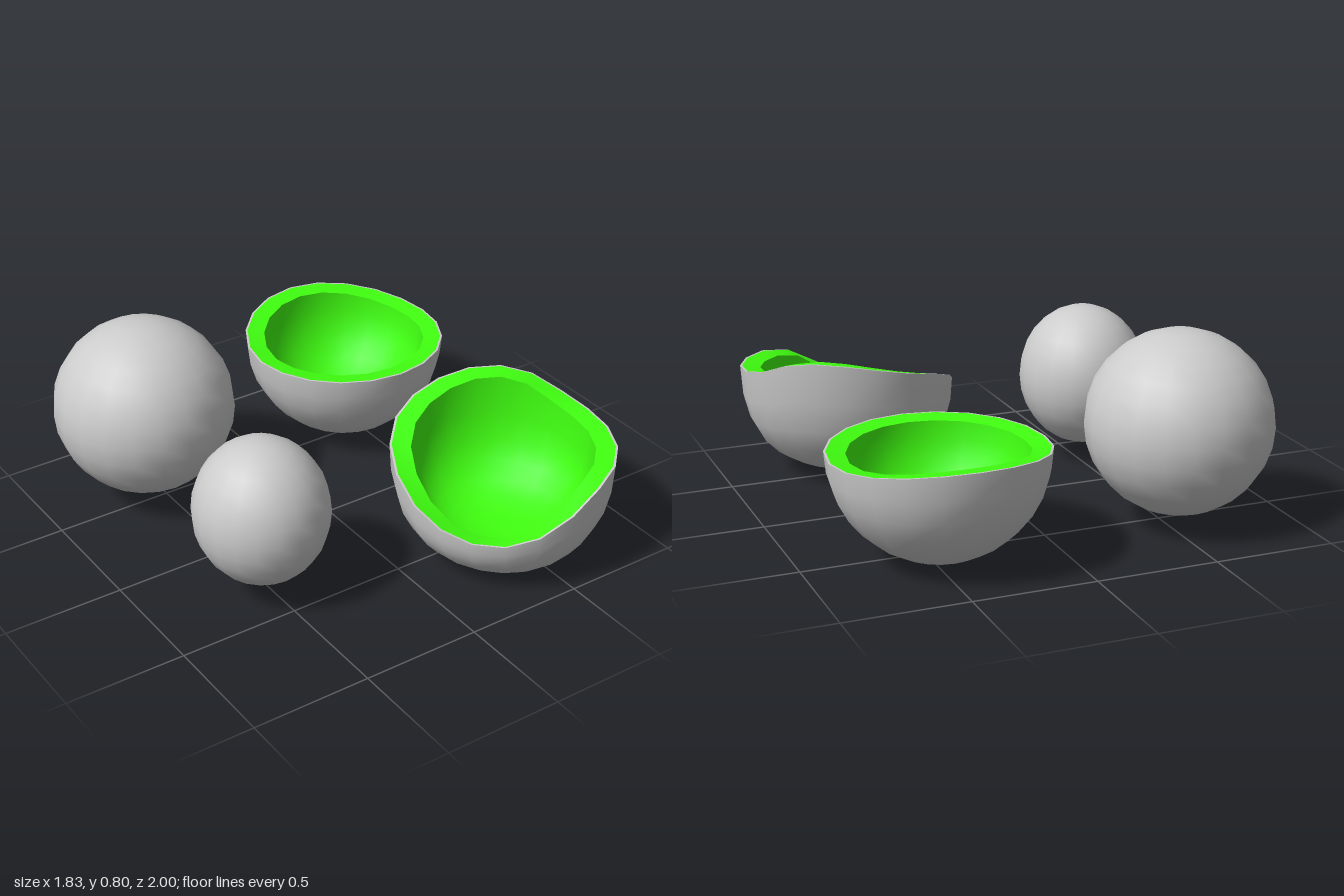
import * as THREE from 'three';
import { mergeVertices } from 'three/addons/utils/BufferGeometryUtils.js';

const SIDES = 20;
const grey = new THREE.MeshStandardMaterial({ color: 0xcccccc, side: THREE.DoubleSide });
const green = new THREE.MeshStandardMaterial({ color: 0x40ff10, side: THREE.DoubleSide });

// Smooth surface through rings: point(ring, angle, side) gives [x, y, z]
function ringSurface(name, rings, point, material) {
  const positions = [], index = [];
  for (let i = 0; i <= rings; i++) {
    for (let j = 0; j < SIDES; j++) {
      positions.push(...point(i / rings, (j / SIDES) * Math.PI * 2, j));
      if (i === rings) continue;
      const a = i * SIDES + j, b = i * SIDES + ((j + 1) % SIDES);
      index.push(a, a + SIDES, b, b, a + SIDES, b + SIDES);
    }
  }
  let geometry = new THREE.BufferGeometry();
  geometry.setAttribute('position', new THREE.Float32BufferAttribute(positions, 3));
  geometry.setIndex(index);
  geometry = mergeVertices(geometry, 1e-5);
  geometry.computeVertexNormals();
  const mesh = new THREE.Mesh(geometry, material);
  mesh.name = name;
  return mesh;
}

// Hollow half shell with an uneven rim; its base may sit off the rim's centre
// and stretch lengthens it along the diagonal
function halfShell(name, { centre, base, radius, stretch, equator, floor, power, heights }) {
  const group = new THREE.Group();
  group.name = name;

  // s: 0 at the base, 1 at the rim
  const wall = (s, angle, j, scale, bottom) => {
    const phi = s * Math.PI / 2;
    const t = Math.sin(phi);
    const r = radius * scale * Math.pow(t, power) * (1 + stretch * Math.sin(2 * angle));
    const belly = (equator - bottom) * (1 - Math.cos(phi));
    return [
      THREE.MathUtils.lerp(base[0], centre[0], t) + r * Math.cos(angle),
      bottom + belly + (heights[j] - equator) * Math.pow(s, 3.5),
      THREE.MathUtils.lerp(base[1], centre[1], t) + r * Math.sin(angle),
    ];
  };
  // Flat band across the wall thickness
  const band = (from, to, drop) => (s, angle, j) => {
    const p = wall(1, angle, j, THREE.MathUtils.lerp(from, to, s), floor);
    p[1] -= drop * s;
    return p;
  };
  const inside = (s, angle, j) => {
    const p = wall(1 - s, angle, j, 0.81, floor + 0.08);
    p[1] -= 0.01 * (1 - s);
    return p;
  };

  group.add(
    ringSurface('outerShell', 8, (s, a, j) => wall(s, a, j, 1, floor), grey),
    ringSurface('shellLip', 1, band(1, 0.98, 0), grey),
    ringSurface('cutRim', 1, band(0.98, 0.81, 0.01), green),
    ringSurface('hollowInside', 8, inside, green),
  );
  return group;
}

// Closed rounded fruit
function fruit(name, position, radii) {
  const mesh = new THREE.Mesh(new THREE.SphereGeometry(1, SIDES, 14), grey);
  mesh.name = name;
  mesh.position.set(...position);
  mesh.scale.set(...radii);
  return mesh;
}

export function createModel() {
  const model = new THREE.Group();
  model.name = 'fruitAndHalfShells';

  // Two whole fruits on the right
  model.add(
    fruit('largeFruit', [-0.545, 0.428, -0.57], [0.378, 0.373, 0.383]),
    fruit('smallFruit', [-0.525, 0.382, 0.31], [0.272, 0.304, 0.28]),
  );

  // Back half shell: a hemisphere with a nearly level rim
  const levelRim = Array.from({ length: SIDES }, (_, j) => {
    const s = Math.sin((j / SIDES) * Math.PI * 2);
    return s < 0 ? 0.44 + 0.05 * s * s : 0.44 + 0.01 * s;
  });
  model.add(halfShell('backHalfShell', {
    centre: [0.464, -0.57], base: [0.464, -0.57], radius: 0.434, stretch: 0,
    equator: 0.44, floor: 0.008, power: 1, heights: levelRim,
  }));

  // Front half shell: leaning, with a slanting wavy rim
  model.add(halfShell('frontHalfShell', {
    centre: [0.467, 0.558], base: [0.4, 0.67], radius: 0.44, stretch: 0.04,
    equator: 0.26, floor: 0, power: 0.93,
    heights: [0.48, 0.468, 0.46, 0.455, 0.43, 0.355, 0.285, 0.25, 0.248, 0.275,
      0.325, 0.395, 0.45, 0.493, 0.525, 0.555, 0.577, 0.582, 0.56, 0.51],
  }));

  return model;
}
